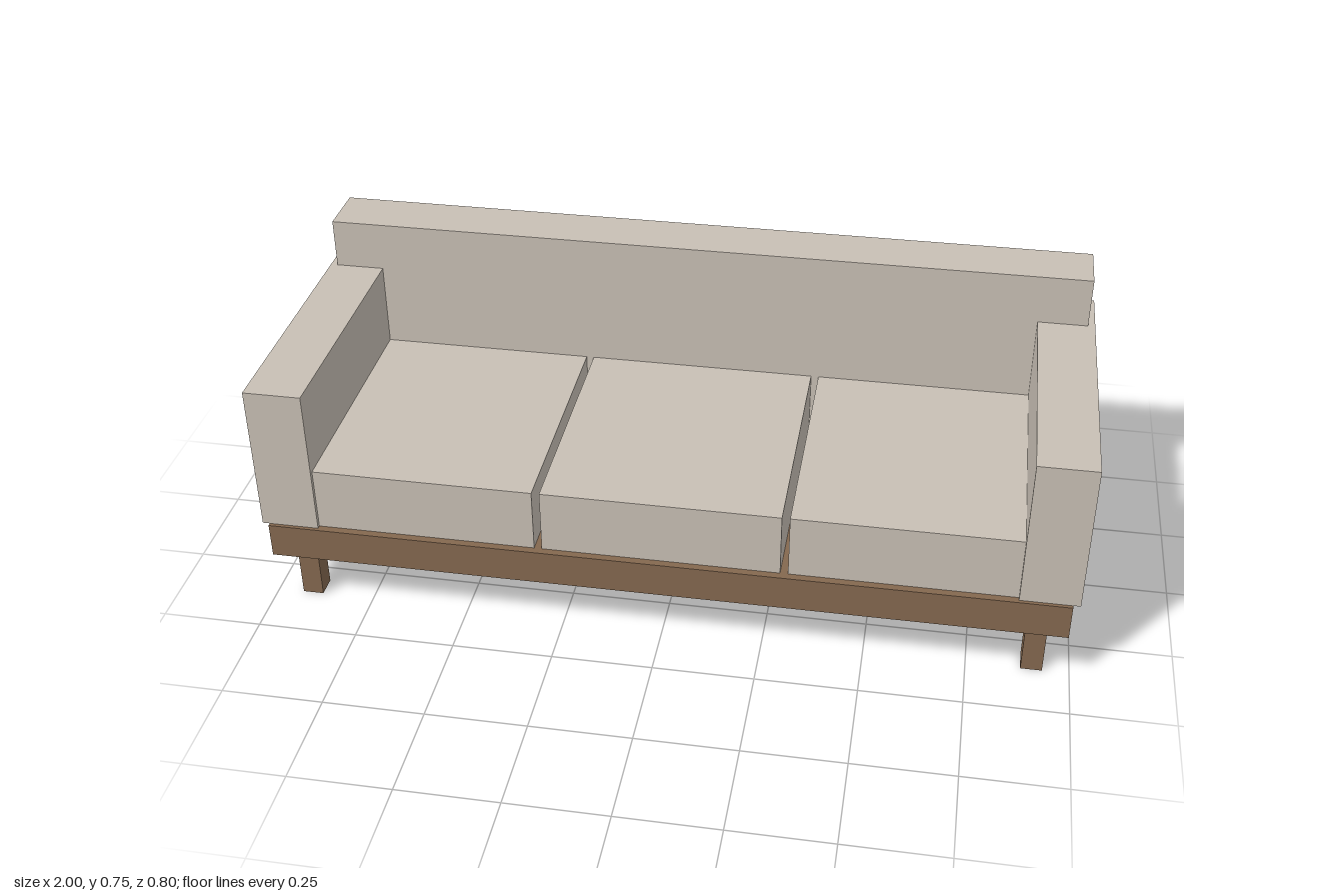
import * as THREE from 'three';

export function createModel() {
  const sofa = new THREE.Group();
  sofa.name = 'sofa';

  const fabric = new THREE.MeshStandardMaterial({ color: 0xc8c0b5 });
  fabric.name = 'beige fabric';
  const wood = new THREE.MeshStandardMaterial({ color: 0x84684f });
  wood.name = 'brown wood';

  // Box given by its extents along each axis
  function block(name, material, [x0, x1], [y0, y1], [z0, z1]) {
    const mesh = new THREE.Mesh(new THREE.BoxGeometry(x1 - x0, y1 - y0, z1 - z0), material);
    mesh.position.set((x0 + x1) / 2, (y0 + y1) / 2, (z0 + z1) / 2);
    mesh.name = name;
    sofa.add(mesh);
  }

  const baseY = 0.147, seatY = 0.237;

  // Wooden platform and backrest
  block('base', wood, [-0.982, 0.982], [baseY, seatY], [-0.4, 0.4]);
  block('backrest', fabric, [-0.982, 0.982], [seatY, 0.747], [-0.4, -0.256]);

  // Arms and legs, mirrored left and right
  for (const [side, s] of [['left', 1], ['right', -1]]) {
    const span = (a, b) => (s > 0 ? [a, b] : [-b, -a]);
    block(side + 'Arm', fabric, span(0.857, 1), [seatY, 0.619], [-0.391, 0.391]);
    block(side + 'FrontLeg', wood, span(0.883, 0.935), [0, baseY], [0.301, 0.355]);
    block(side + 'BackLeg', wood, span(0.883, 0.935), [0, baseY], [-0.355, -0.301]);
  }

  // Three seat cushions with narrow gaps between them
  ['rightCushion', 'middleCushion', 'leftCushion'].forEach((name, i) => {
    const x = (i - 1) * 0.603;
    block(name, fabric, [x - 0.292, x + 0.292], [seatY, 0.4], [-0.258, 0.381]);
  });

  return sofa;
}
